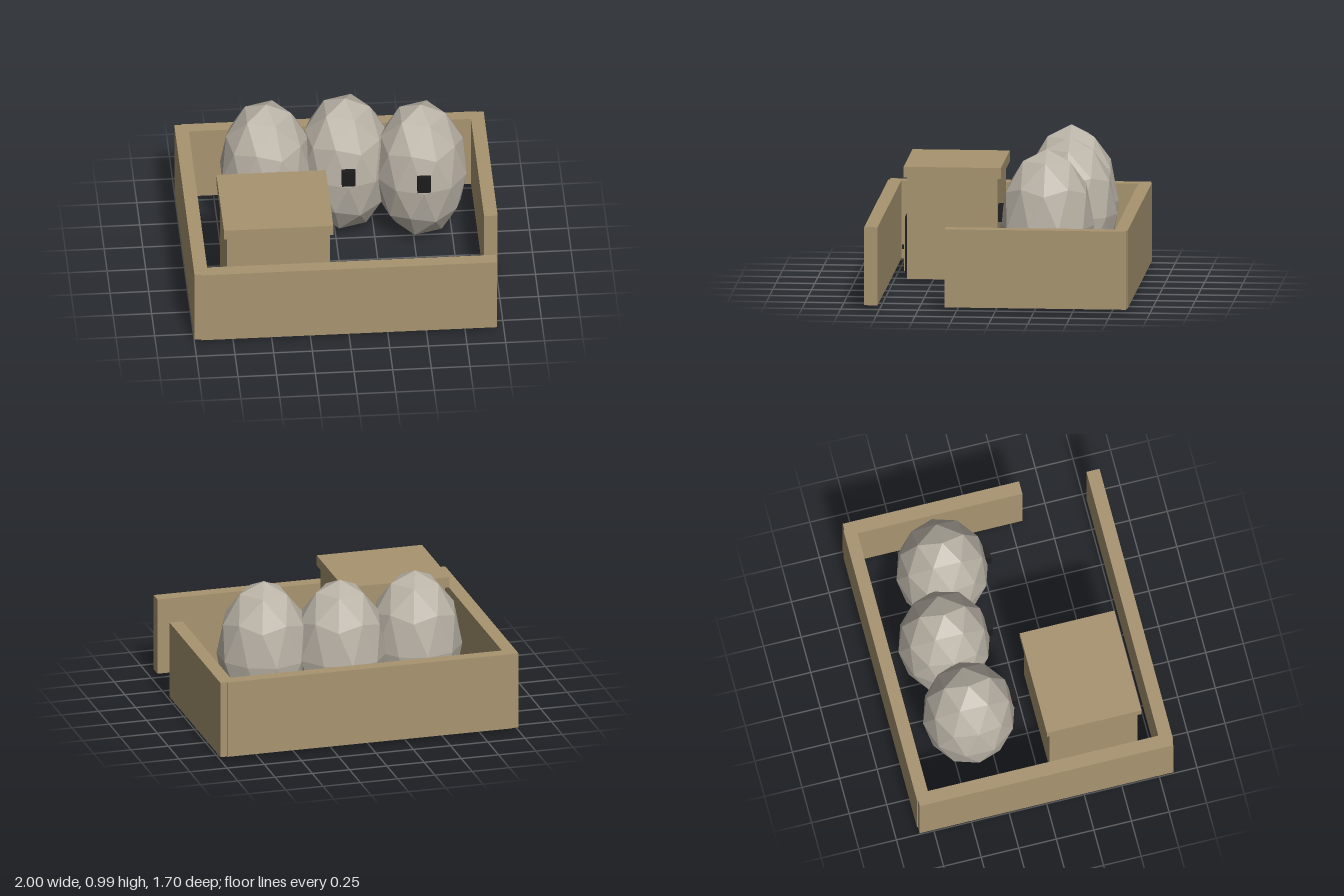
import * as THREE from 'three';

export function createModel() {
  const model = new THREE.Group();
  const material = (name, color) => {
    const m = new THREE.MeshStandardMaterial({ color, flatShading: true });
    m.name = name;
    return m;
  };
  const tan = material('sandy brown', 0xa89470);
  const stone = material('pale stone grey', 0xb9b2a6);
  const black = material('near black', 0x1c1c1c);

  // Box given by its lower and upper corners
  const box = (name, mat, [x0, y0, z0], [x1, y1, z1], parent = model) => {
    const mesh = new THREE.Mesh(new THREE.BoxGeometry(x1 - x0, y1 - y0, z1 - z0), mat);
    mesh.position.set((x0 + x1) / 2, (y0 + y1) / 2, (z0 + z1) / 2);
    mesh.name = name;
    parent.add(mesh);
  };

  // Perimeter walls, with a gateway at the front left corner
  const low = 0.02, high = 0.53;
  box('backWall', tan, [-0.955, low, -0.852], [0.955, high, -0.768]);
  box('frontWall', tan, [-0.955, low, 0.765], [0.955, high, 0.852]);
  box('rightWall', tan, [-1, low, -0.845], [-0.912, high, 0.842]);
  box('leftWall', tan, [0.912, low, -0.845], [1, high, 0.328]);

  // Hut with an overhanging flat roof
  const hut = new THREE.Group();
  hut.name = 'hut';
  model.add(hut);
  box('hutBody', tan, [-0.775, low, 0.077], [-0.11, 0.685, 0.661], hut);
  box('hutRoof', tan, [-0.797, 0.685, 0.053], [-0.09, 0.755, 0.683], hut);
  box('doorFrame', black, [-0.543, low, 0.655], [-0.35, 0.385, 0.694], hut);
  box('doorPanel', tan, [-0.527, 0.03, 0.69], [-0.366, 0.372, 0.702], hut);
  box('doorHandle', black, [-0.398, 0.17, 0.7], [-0.377, 0.197, 0.716], hut);

  // Faceted egg-shaped domes, turned so that a corner points straight up
  const eggShape = new THREE.IcosahedronGeometry(1, 1);
  eggShape.rotateZ(-Math.atan2(2, 1 + Math.sqrt(5)));
  eggShape.scale(0.305, 0.495, 0.305);
  eggShape.computeVertexNormals();
  for (const [x, z] of [[-0.443, -0.375], [0.07, -0.408], [0.55, -0.298]]) {
    const dome = new THREE.Group();
    dome.name = 'dome';
    dome.position.set(x, 0.495, z);
    const shell = new THREE.Mesh(eggShape, stone);
    shell.name = 'domeShell';
    dome.add(shell);
    box('domeWindow', black, [-0.044, 0.02, 0.26], [0.044, 0.13, 0.315], dome);
    model.add(dome);
  }
  return model;
}
